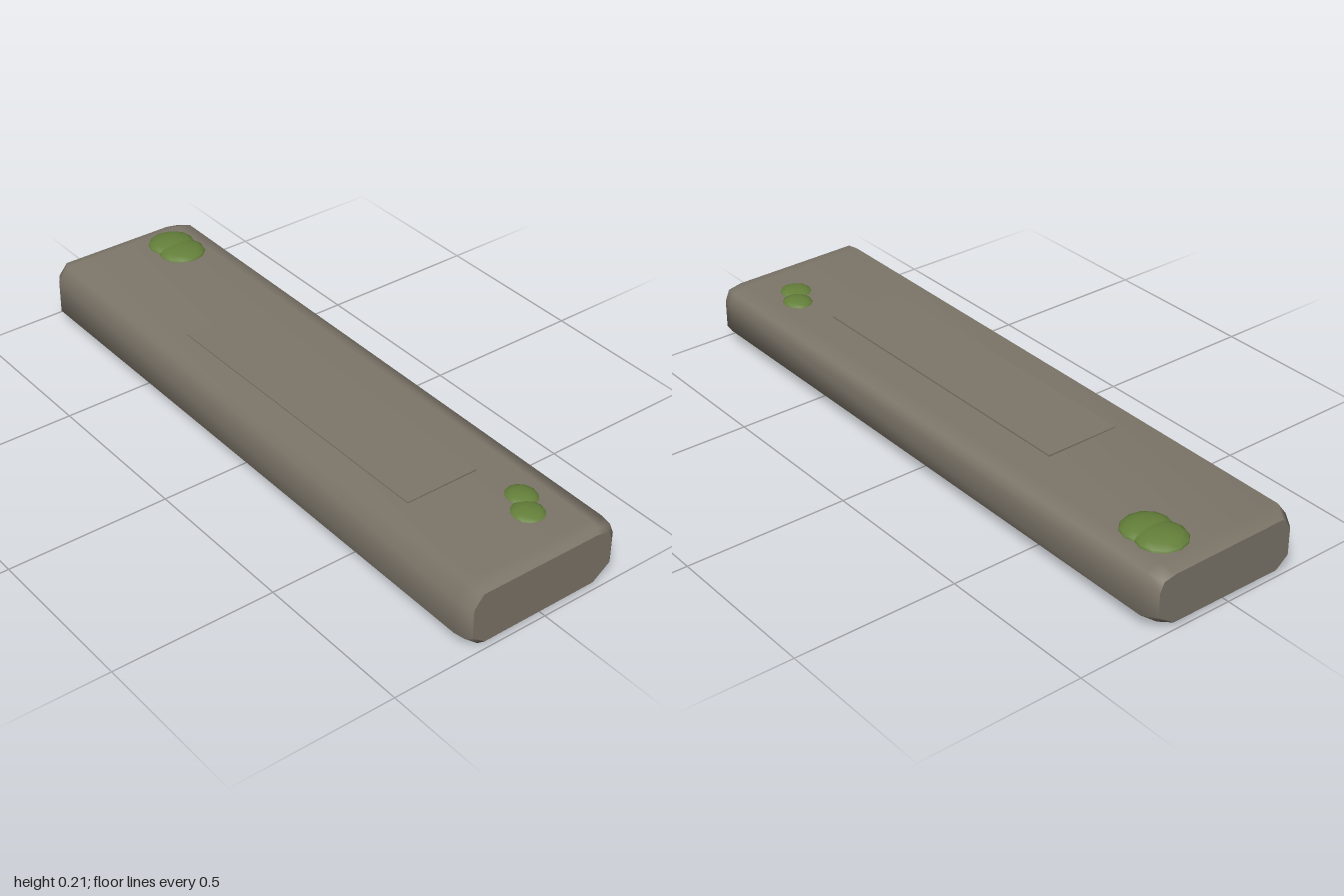
import * as THREE from 'three';

const stone = new THREE.MeshStandardMaterial({ color: 0x7d766a });
stone.name = 'stone';
const moss = new THREE.MeshStandardMaterial({ color: 0x64803a });
moss.name = 'moss';

// Worn slab profile as [z, y], from the front face over the top to the underside
const profile = [
  [0.255, 0.04], [0.255, 0.145], [0.222, 0.188], [-0.2, 0.185],
  [-0.245, 0.176], [-0.26, 0.14], [-0.26, 0.05], [-0.2, 0.003], [0.21, 0.001],
];

// Cross-sections along x: position, depth scale, height scale, forward shift
const sections = [
  [-0.995, 0.89, 0.82, -0.01], [-0.95, 0.985, 1, -0.006],
  [0.94, 1, 1, 0.004], [0.975, 0.98, 0.97, 0.004], [0.99, 0.92, 0.86, 0.006],
];

function slabGeometry() {
  const n = profile.length;
  const positions = [];
  const index = [];
  const addRing = ([x, depth, height, shift]) => {
    for (const [z, y] of profile) {
      positions.push(x, 0.095 + (y - 0.095) * height, z * depth + shift);
    }
  };
  sections.forEach(addRing);
  for (let i = 0; i < sections.length - 1; i++) {
    for (let j = 0; j < n; j++) {
      const k = (j + 1) % n;
      const a = i * n + j, b = i * n + k, c = a + n, d = b + n;
      index.push(a, c, b, b, c, d);
    }
  }
  // End caps have their own corners, so their rims stay crisp
  const left = sections.length * n;
  const right = left + n;
  addRing(sections[0]);
  addRing(sections[sections.length - 1]);
  for (let j = 1; j < n - 1; j++) {
    index.push(left, left + j, left + j + 1);
    index.push(right, right + j + 1, right + j);
  }
  const geometry = new THREE.BufferGeometry();
  geometry.setAttribute('position', new THREE.Float32BufferAttribute(positions, 3));
  geometry.setIndex(index);
  geometry.computeVertexNormals();
  return geometry;
}

export function createModel() {
  const group = new THREE.Group();
  group.name = 'stoneSlab';

  const add = (name, geometry, material, x, y, z) => {
    const mesh = new THREE.Mesh(geometry, material);
    mesh.name = name;
    mesh.position.set(x, y, z);
    group.add(mesh);
    return mesh;
  };

  add('slab', slabGeometry(), stone, 0, 0, 0);

  // Raised worn panel on the top
  add('topPanel', new THREE.BoxGeometry(1.01, 0.02, 0.238), stone, 0.1, 0.181, 0.018);

  // Flattened moss clumps: x, z, radius in x, radius in z, top height
  const clumps = [
    [-0.872, -0.125, 0.075, 0.077, 0.208], [-0.815, -0.125, 0.072, 0.077, 0.206],
    [0.758, -0.125, 0.052, 0.046, 0.199], [0.82, -0.09, 0.052, 0.05, 0.198],
  ];
  const blob = new THREE.SphereGeometry(1, 12, 8);
  clumps.forEach(([x, z, rx, rz, top], i) => {
    add(`mossClump${i + 1}`, blob, moss, x, 0.181, z).scale.set(rx, top - 0.181, rz);
  });

  return group;
}
